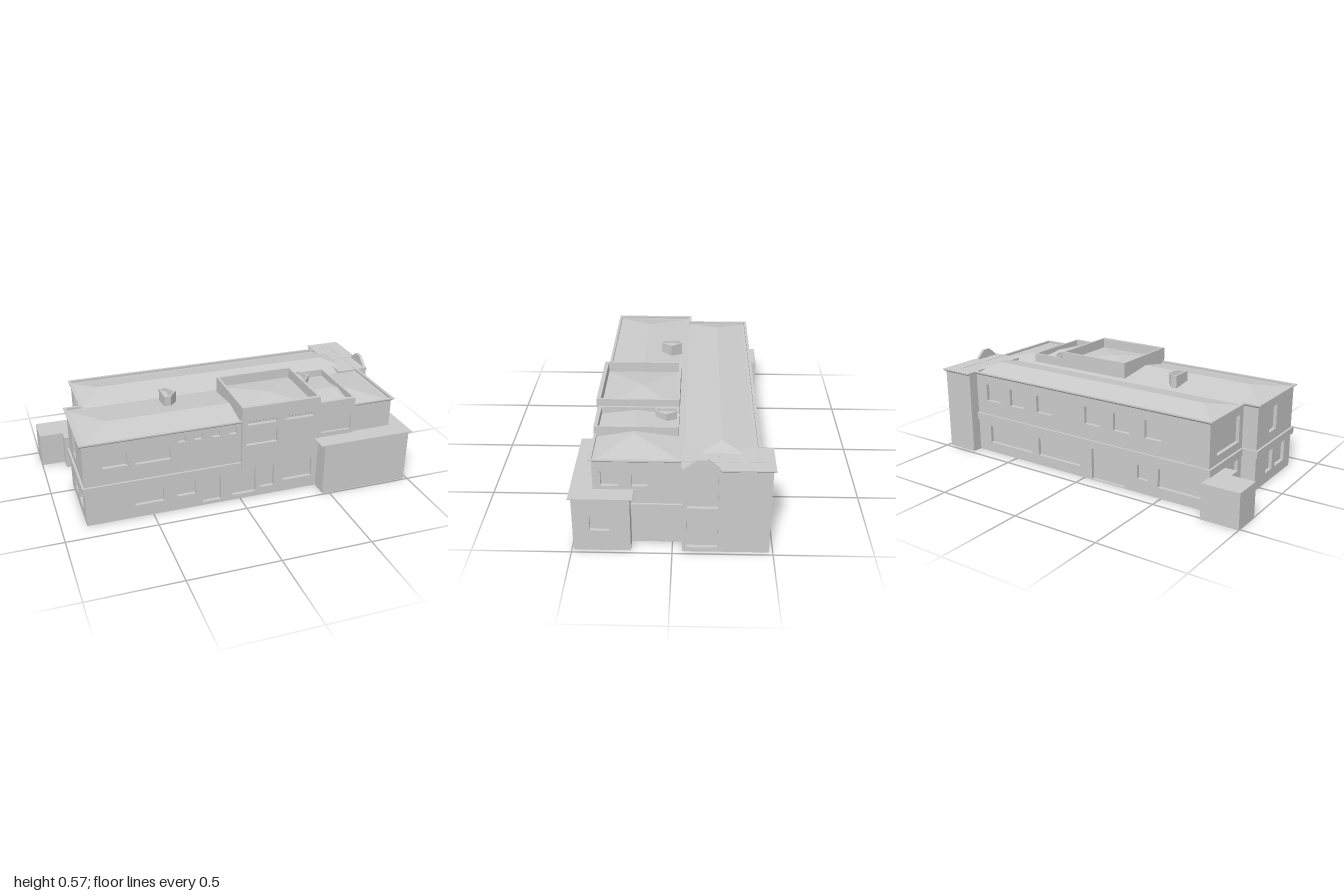
import * as THREE from 'three';

const MAT = new THREE.MeshStandardMaterial({ color: 0xcccccc, flatShading: true, side: THREE.DoubleSide });
const D = 0.02; // depth of window recesses

export function createModel() {
  const model = new THREE.Group();
  model.name = 'building';

  const add = (name, geo) => {
    const m = new THREE.Mesh(geo, MAT);
    m.name = name;
    model.add(m);
    return m;
  };
  const box = (name, x0, x1, y0, y1, z0, z1) =>
    add(name, new THREE.BoxGeometry(x1 - x0, y1 - y0, z1 - z0))
      .position.set((x0 + x1) / 2, (y0 + y1) / 2, (z0 + z1) / 2);
  const outline = (Type, pts) => new Type(pts.map(p => new THREE.Vector2(p[0], p[1])));
  const rect = (a, b, c, d) => [[a, c], [b, c], [b, d], [a, d]];
  const solid = tris => {
    const g = new THREE.BufferGeometry();
    g.setAttribute('position', new THREE.Float32BufferAttribute(tris.flat(), 3));
    g.computeVertexNormals();
    return g;
  };

  // Wall slab with openings [a, b, y0, y1]; its outer face lies on the given plane
  const SIDES = { front: [0, 1], back: [Math.PI, -1], right: [Math.PI / 2, -1], left: [-Math.PI / 2, 1] };
  const wall = (name, side, plane, a, b, y0, y1, holes = []) => {
    const [turn, s] = SIDES[side];
    const shape = outline(THREE.Shape, rect(s * a, s * b, y0, y1));
    for (const [h0, h1, v0, v1] of holes)
      shape.holes.push(outline(THREE.Path, rect(s * h0, s * h1, v0, v1)));
    const m = add(name, new THREE.ExtrudeGeometry(shape, { depth: D, bevelEnabled: false }));
    m.rotation.y = turn;
    const inner = plane - Math.sign(plane) * D;
    if (side === 'front' || side === 'back') m.position.z = inner;
    else m.position.x = inner;
  };

  // Moulding: profile of [offset, y] swept around a right-angled plan of [x, z]
  const moulding = (name, plan, profile) => {
    const n = plan.length, tris = [];
    const normal = i => {
      const p = plan[i % n], q = plan[(i + 1) % n];
      return [-Math.sign(q[1] - p[1]), Math.sign(q[0] - p[0])];
    };
    const at = (i, [o, y]) => {
      const u = normal(i + n - 1), v = normal(i);
      return [plan[i % n][0] + o * (u[0] + v[0]), y, plan[i % n][1] + o * (u[1] + v[1])];
    };
    for (let i = 0; i < n; i++)
      for (let k = 0; k + 1 < profile.length; k++) {
        const a = at(i, profile[k]), b = at((i + 1) % n, profile[k]);
        const c = at((i + 1) % n, profile[k + 1]), d = at(i, profile[k + 1]);
        tris.push(...a, ...b, ...c, ...a, ...c, ...d);
      }
    add(name, solid(tris));
  };
  const plan = (x0, x1, z0, z1) => [[x0, z1], [x1, z1], [x1, z0], [x0, z0]];

  // Low hipped roof with its ridge along x
  const hip = (name, x0, x1, z0, z1, base, peak, r0, r1, rz) => {
    const a = [x0, base, z1], b = [x1, base, z1], c = [x1, base, z0], d = [x0, base, z0];
    const p = [r0, peak, rz], q = [r1, peak, rz];
    const tris = [a, b, q, b, c, q, c, d, p, d, a, p];
    if (r0 !== r1) tris.push(a, q, p, c, p, q);
    add(name, solid(tris));
  };

  // Upright hollow ring from a plan outline and its inner outline
  const ring = (name, outer, inner, y0, y1) => {
    const shape = outline(THREE.Shape, outer);
    shape.holes.push(outline(THREE.Path, inner));
    const g = new THREE.ExtrudeGeometry(shape, { depth: y1 - y0, bevelEnabled: false });
    g.rotateX(Math.PI / 2);
    add(name, g).position.y = y1;
  };

  // Main block: solid core seen through the openings
  const TOP = 0.475;
  box('mainCore', -0.76, 0.885, 0, 0.47, -0.4, 0.37);
  box('mainCoreLeft', -0.845, -0.75, 0, 0.47, -0.04, 0.37);

  const smallWindows = [-0.355, -0.26, -0.162, -0.067].map(x => [x, x + 0.043, 0.415, 0.45]);
  wall('frontWall', 'front', 0.39, -0.865, 0.905, 0, TOP, [
    [-0.765, -0.63, 0.33, 0.4], [-0.59, -0.395, 0.325, 0.4], ...smallWindows,
    [-0.6, -0.44, 0.075, 0.165], [-0.365, -0.26, 0.085, 0.16], [-0.22, -0.115, 0.02, 0.17],
    [-0.045, 0.09, 0.03, 0.19], [0.12, 0.2, 0.05, 0.19], [0.255, 0.43, 0.07, 0.19],
  ]);
  const backUpper = [0.61, 0.43, 0.23, -0.11, -0.3, -0.5].map(x => [x, x + 0.105, 0.32, 0.42]);
  wall('backWall', 'back', -0.42, -0.78, 0.905, 0, TOP, [
    ...backUpper, [0.38, 0.7, 0.06, 0.165], [0.03, 0.33, 0.06, 0.165],
    [-0.27, -0.05, 0.005, 0.185], [-0.42, -0.35, 0.08, 0.16], [-0.76, -0.48, 0.06, 0.165],
  ]);
  wall('rightWall', 'right', 0.905, -0.4, 0.37, 0, TOP,
    [[0.265, 0.35, 0.333, 0.42], [0.12, 0.2, 0.333, 0.42]]);
  wall('leftRearWall', 'left', -0.78, -0.4, -0.04, 0, TOP,
    [[-0.34, -0.1, 0.28, 0.43], [-0.2, -0.1, 0.02, 0.18]]);
  wall('leftFrontWall', 'left', -0.865, -0.04, 0.37, 0, TOP,
    [[0.09, 0.18, 0.29, 0.43], [0.07, 0.15, 0.06, 0.18], [0.19, 0.31, 0.06, 0.18]]);
  wall('leftStepWall', 'back', -0.06, -0.865, -0.76, 0, TOP);

  // Band between the storeys
  const Y0 = 0.195, Y1 = 0.235, B = 0.012;
  box('frontBand', -0.865 - B, 0, Y0, Y1, 0.385, 0.39 + B);
  box('leftBand', -0.865 - B, -0.86, Y0, Y1, -0.06 - B, 0.39);
  box('stepBand', -0.865, -0.78, Y0, Y1, -0.06 - B, -0.055);
  box('leftRearBand', -0.78 - B, -0.775, Y0, Y1, -0.42, -0.06);
  box('backBand', -0.78 - B, 0.79, Y0, Y1, -0.42 - B, -0.415);
  box('rightBand', 0.9, 0.905 + B, Y0, Y1, -0.05, 0.205);

  // Main roof: rim and two parallel hips
  const footprint = [[-0.865, 0.39], [0.905, 0.39], [0.905, -0.42], [-0.78, -0.42], [-0.78, -0.06], [-0.865, -0.06]];
  moulding('roofRim', footprint, [[0, 0.472], [0.013, 0.482], [0.013, 0.489], [-0.002, 0.489], [-0.002, 0.468]]);
  hip('rearRoof', -0.78, 0.905, -0.42, -0.06, 0.472, 0.509, -0.65, 0.75, -0.24);
  hip('frontRoof', -0.865, 0.905, -0.06, 0.39, 0.472, 0.507, -0.69, 0.69, 0.2);

  // Front bays with parapets rising above the roof
  wall('tallBayFront', 'front', 0.41, 0, 0.455, 0.195, 0.57,
    [[0.025, 0.205, 0.34, 0.425], [0.03, 0.2, 0.462, 0.485], [0.255, 0.42, 0.462, 0.485]]);
  ring('tallParapet', rect(0, 0.455, -0.025, 0.395), rect(0.013, 0.442, -0.012, 0.388), 0.465, 0.57);
  hip('tallBayRoof', 0.01, 0.445, -0.015, 0.39, 0.512, 0.54, 0.225, 0.225, 0.185);
  wall('lowBayFront', 'front', 0.403, 0.455, 0.67, 0.31, 0.53, [[0.475, 0.65, 0.34, 0.425]]);
  ring('lowParapet', rect(0.455, 0.67, -0.025, 0.39), rect(0.467, 0.66, -0.014, 0.384), 0.465, 0.53);
  hip('lowBayRoof', 0.46, 0.665, -0.02, 0.387, 0.49, 0.515, 0.461, 0.63, 0.2);

  // Wedge-shaped roof vents
  for (const [x, w, top] of [[-0.345, 0.083, 0.55], [0.477, 0.073, 0.537]]) {
    const wedge = t => [[x + t, -0.02 + t], [x + w * 0.45, -0.02 + t], [x + w - t * 1.3, 0.04],
      [x + w * 0.45, 0.1 - t], [x + t, 0.1 - t]];
    ring('roofVent', wedge(0), wedge(0.009), 0.47, top);
    box('roofVentFloor', x + 0.005, x + w * 0.45, 0.47, top - 0.015, -0.012, 0.092);
  }

  // Front right annex
  box('annexCore', 0.46, 0.96, 0, 0.305, 0.205, 0.49);
  wall('annexRightWall', 'right', 0.98, 0.205, 0.49, 0, 0.305, [[0.31, 0.405, 0.118, 0.2]]);
  box('annexRoof', 0.432, 0.994, 0.309, 0.314, 0.19, 0.504);
  moulding('annexEave', plan(0.445, 0.98, 0.205, 0.49),
    [[-0.02, 0.302], [0, 0.302], [0.014, 0.309], [0.014, 0.315], [-0.02, 0.315]]);

  // Stair tower at the right rear, with a stepped gable on its outer face
  box('towerCore', 0.79, 0.96, 0, 0.475, -0.48, -0.05);
  wall('towerRightWall', 'right', 0.98, -0.48, -0.05, 0, 0.475,
    [[-0.222, -0.072, 0.26, 0.437], [-0.222, -0.072, 0.025, 0.205]]);
  box('towerRoof', 0.79, 0.98, 0.47, 0.487, -0.48, -0.045);
  moulding('towerEave', plan(0.8, 0.98, -0.48, -0.24),
    [[-0.02, 0.472], [0, 0.472], [0.013, 0.482], [0.013, 0.489], [-0.02, 0.489]]);
  const gable = outline(THREE.Shape,
    [[0.05, 0.47], [0.232, 0.47], [0.225, 0.49], [0.17, 0.537], [0.12, 0.537], [0.05, 0.478]]);
  const gableMesh = add('towerGable', new THREE.ExtrudeGeometry(gable, { depth: 0.017, bevelEnabled: false }));
  gableMesh.rotation.y = Math.PI / 2;
  gableMesh.position.x = 0.965;

  // Low outbuilding at the left rear
  box('outbuilding', -1, -0.785, 0, 0.195, -0.51, -0.34);
  box('outbuildingLink', -0.865, -0.78, 0, 0.195, -0.34, -0.27);

  return model;
}
